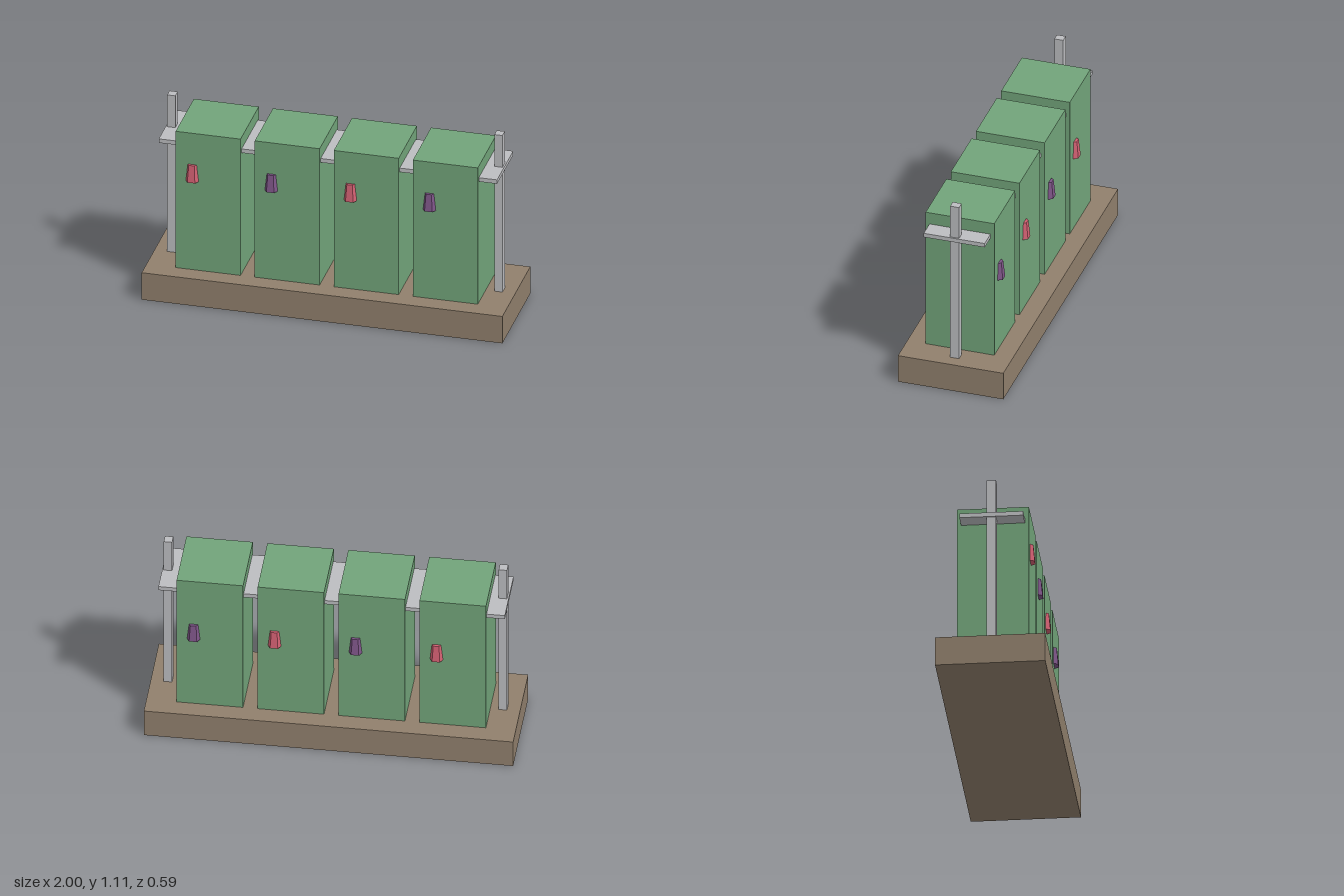
import * as THREE from 'three';

export function createModel() {
  const model = new THREE.Group();
  const mat = (name, color) => {
    const m = new THREE.MeshStandardMaterial({ color });
    m.name = name;
    return m;
  };
  const brown = mat('brown', 0x907f6c);
  const green = mat('green', 0x72a47a);
  const grey = mat('grey', 0xbcbdc0);
  const red = mat('red', 0xd26072);
  const purple = mat('purple', 0x7e5588);
  red.flatShading = purple.flatShading = true;

  const add = (name, geometry, material, x, y, z) => {
    const mesh = new THREE.Mesh(geometry, material);
    mesh.name = name;
    mesh.position.set(x, y, z);
    model.add(mesh);
    return mesh;
  };
  const box = (name, material, [w, h, d], x, bottom) =>
    add(name, new THREE.BoxGeometry(w, h, d), material, x, bottom + h / 2, 0);

  // Plinth, crossing shelf and end posts
  box('base', brown, [2, 0.163, 0.594], 0, 0);
  box('shelf', grey, [1.876, 0.024, 0.344], 0, 0.895);
  for (const side of [-1, 1]) {
    box('post', grey, [0.045, 0.95, 0.05], side * 0.907, 0.162);
  }

  // Tapered six-sided pegs, half sunk into the blocks
  const pegGeometry = new THREE.CylinderGeometry(0.031, 0.042, 0.1, 6);
  pegGeometry.rotateY(Math.PI / 6);

  // Four blocks, each with a peg on the front and a lower one on the back
  for (let i = 0; i < 4; i++) {
    const x = (i - 1.5) * 0.4385 - 0.001;
    const pegMaterial = i % 2 ? purple : red;
    box('block', green, [0.36, 0.826, 0.387], x, 0.163);
    add('frontPeg', pegGeometry, pegMaterial, x - 0.088, 0.75, 0.182);
    add('backPeg', pegGeometry, pegMaterial, x + 0.088, 0.65, -0.182);
  }
  return model;
}
